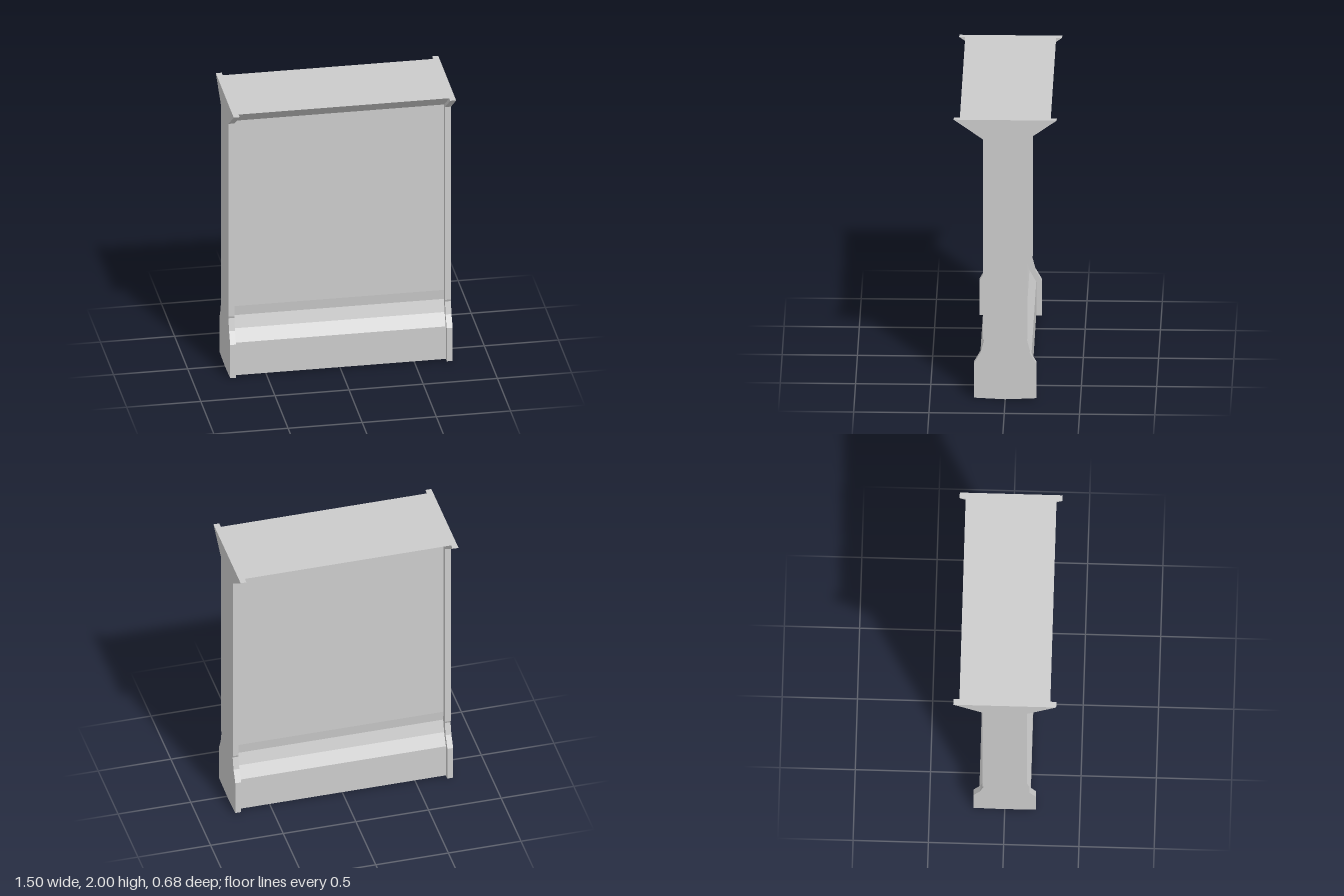
import * as THREE from 'three';

// Right half of each cross-section as [z, y], bottom to top
const endProfile = [
  [0.11, 0.005], [0.208, 0.01], [0.208, 0.255], [0.163, 0.335],
  [0.141, 0.42], [0.147, 0.435], [0.147, 1.86], [0.342, 2],
];
const panelProfile = [
  [0.09, 0.005], [0.17, 0.01], [0.17, 0.25], [0.125, 0.335],
  [0.1, 0.42], [0.107, 0.49], [0.107, 1.86], [0.302, 2],
];

// Mirror the half profile front to back and extrude it along x
function slab(name, half, width, x, material) {
  const mirrored = half.map(([z, y]) => [-z, y]).reverse();
  const points = [[0, 0], ...half, ...mirrored].map(([z, y]) => new THREE.Vector2(z, y));
  const geometry = new THREE.ExtrudeGeometry(new THREE.Shape(points), {
    depth: width, bevelEnabled: false,
  });
  geometry.translate(0, 0, -width / 2);
  geometry.rotateY(-Math.PI / 2);
  const mesh = new THREE.Mesh(geometry, material);
  mesh.name = name;
  mesh.position.x = x;
  return mesh;
}

export function createModel() {
  const group = new THREE.Group();
  group.name = 'wallSegment';
  const material = new THREE.MeshStandardMaterial({ color: 0xcccccc, flatShading: true });

  // Recessed wall between the two protruding end ribs
  group.add(slab('wallPanel', panelProfile, 1.42, 0, material));
  group.add(slab('leftEndRib', endProfile, 0.04, 0.73, material));
  group.add(slab('rightEndRib', endProfile, 0.04, -0.73, material));
  return group;
}
